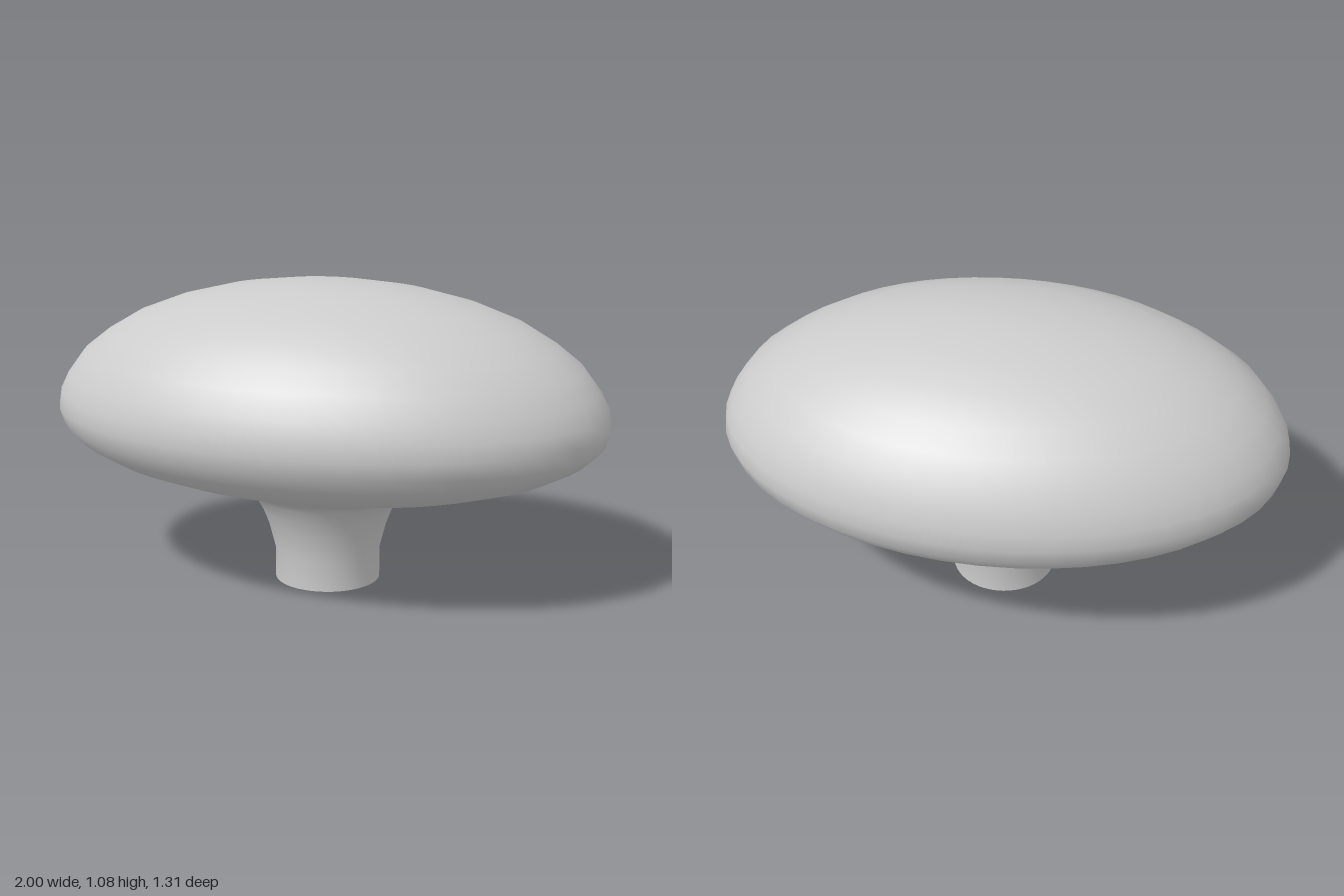
import * as THREE from 'three';
import { toCreasedNormals } from 'three/addons/utils/BufferGeometryUtils.js';

// Revolve a profile of [radius, y], squashing z to an oval as the radius leaves the neck
function ovalLathe(profile, segments) {
  const points = profile.map(([r, y]) => new THREE.Vector2(r, y));
  const geo = new THREE.LatheGeometry(points, segments);
  const pos = geo.attributes.position;
  for (let i = 0; i < pos.count; i++) {
    const x = pos.getX(i), y = pos.getY(i), z = pos.getZ(i);
    const oval = THREE.MathUtils.smoothstep(y, 0.31, 0.39);
    pos.setZ(i, z * THREE.MathUtils.lerp(1, 0.655, oval));
  }
  return toCreasedNormals(geo, 0.85);
}

export function createModel() {
  const group = new THREE.Group();
  group.name = 'drawerKnob';
  const material = new THREE.MeshStandardMaterial({ color: 0xcccccc });

  const profile = [
    // screw hole
    [0, 0.3], [0.087, 0.3], [0.087, 0],
    // stem flaring into the neck
    [0.188, 0], [0.188, 0.11], [0.212, 0.205], [0.235, 0.265], [0.26, 0.31], [0.285, 0.328], [0.34, 0.342],
    // shallow underside and rounded rim
    [0.5, 0.37], [0.67, 0.398], [0.82, 0.443], [0.92, 0.495], [0.98, 0.55], [1, 0.61], [0.99, 0.67],
    // domed top
    [0.96, 0.73], [0.9, 0.81], [0.81, 0.88], [0.7, 0.945], [0.55, 1.003],
    [0.37, 1.048], [0.18, 1.074], [0, 1.08],
  ];
  const knob = new THREE.Mesh(ovalLathe(profile, 48), material);
  knob.name = 'knob';
  group.add(knob);
  return group;
}
